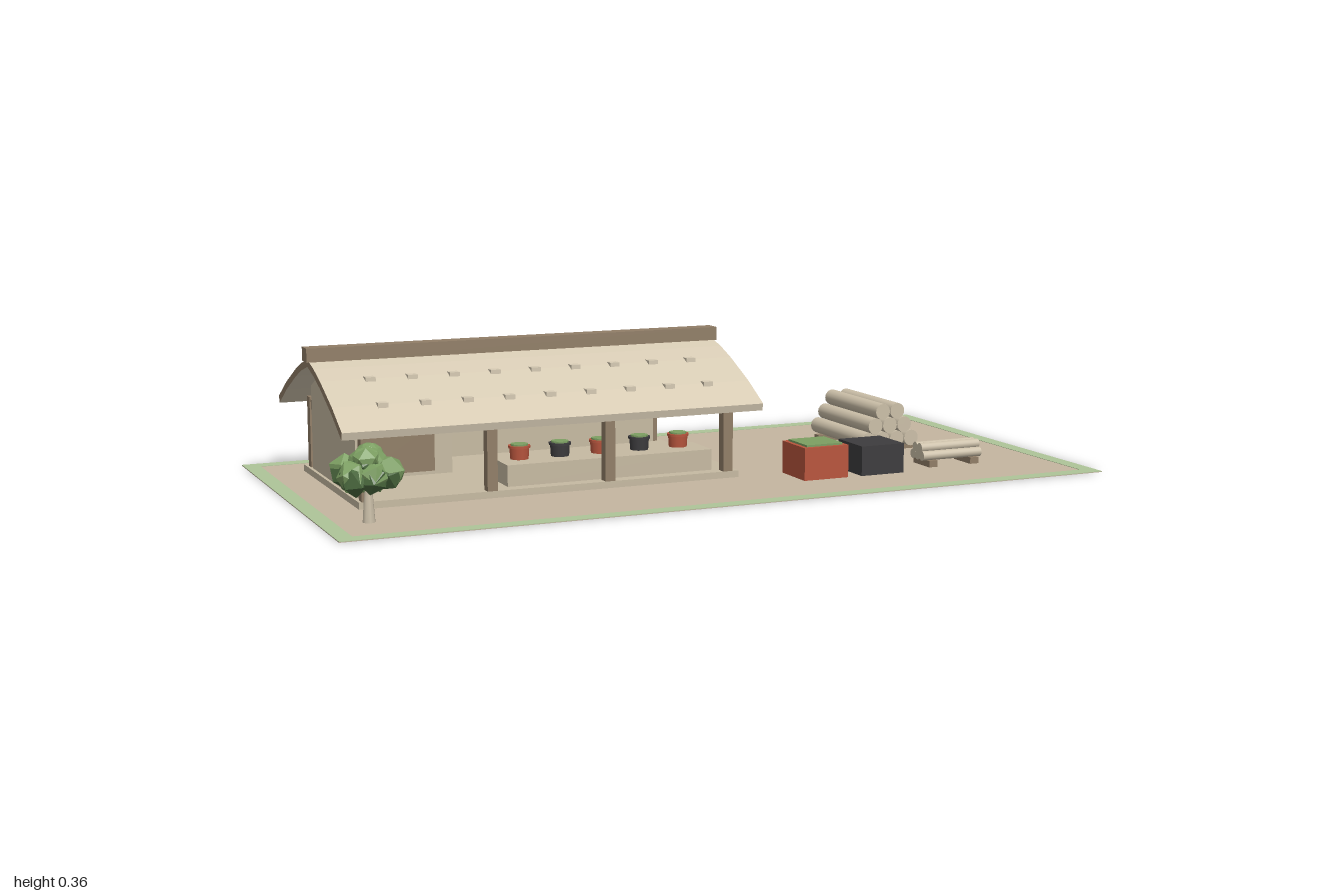
import * as THREE from 'three';

const mat = (name, color, extra = {}) => {
  const m = new THREE.MeshStandardMaterial({ color, ...extra });
  m.name = name;
  return m;
};

export function createModel() {
  const root = new THREE.Group();
  root.name = 'marketPavilion';
  const M = {
    sand: mat('sand', 0xc4b5a0),
    grass: mat('grass', 0xaec498),
    roof: mat('roofTile', 0xd6cab3),
    wall: mat('plaster', 0xc6baa2),
    timber: mat('timber', 0x917e67),
    red: mat('terracotta', 0xb8553d),
    dark: mat('charcoal', 0x3d3c3e),
    leaf: mat('leaf', 0x7c9f62, { flatShading: true }),
    leafDark: mat('darkLeaf', 0x4c6b3f, { flatShading: true }),
    log: mat('log', 0xcbbfa8),
  };

  const add = (name, geo, m, parent = root) => {
    const mesh = new THREE.Mesh(geo, m);
    mesh.name = name;
    parent.add(mesh);
    return mesh;
  };
  // Box given by its limits on each axis
  const box = (name, m, x0, x1, y0, y1, z0, z1, parent = root) => {
    const b = add(name, new THREE.BoxGeometry(x1 - x0, y1 - y0, z1 - z0), m, parent);
    b.position.set((x0 + x1) / 2, (y0 + y1) / 2, (z0 + z1) / 2);
    return b;
  };
  const group = (name) => {
    const g = new THREE.Group();
    g.name = name;
    root.add(g);
    return g;
  };

  // Ground with a grass border
  box('ground', M.sand, -1, 1, 0.0005, 0.002, -0.49, 0.49);
  for (const s of [-1, 1]) {
    const side = box('grassSide', M.grass, -0.02, 0.02, 0.002, 0.003, -0.49, 0.49);
    side.position.x = s * 0.98;
    const end = box('grassEnd', M.grass, -0.96, 0.96, 0.002, 0.003, -0.02, 0.02);
    end.position.z = s * 0.47;
  }

  // Building: floor, posts and beams
  const zc = -0.08;
  const house = group('building');
  box('floorSlab', M.wall, -0.87, 0.115, 0.002, 0.019, -0.352, 0.178, house);
  const postX = [-0.85, -0.54, -0.235, 0.085];
  for (const z of [0.165, -0.313]) {
    for (const x of postX)
      box('post', M.timber, x - 0.013, x + 0.013, 0.019, 0.2, z - 0.013, z + 0.013, house);
    box('eaveBeam', M.timber, -0.85, 0.085, 0.17, 0.194, z - 0.009, z + 0.009, house);
  }
  for (const x of postX)
    box('crossBeam', M.timber, x - 0.01, x + 0.01, 0.169, 0.194, -0.31, 0.16, house);

  // Roof cross-section, as distance from ridge and height
  const prof = [[0, 0.327], [0.06, 0.311], [0.12, 0.289], [0.225, 0.242], [0.31, 0.195]];
  const th = 0.018;
  const roofY = (d) => {
    let i = 0;
    while (i < prof.length - 2 && d > prof[i + 1][0]) i++;
    const [a, b] = [prof[i], prof[i + 1]];
    return a[1] + ((b[1] - a[1]) * (d - a[0])) / (b[0] - a[0]);
  };
  const extrudeX = (pts, x0, x1) => {
    const shape = new THREE.Shape(pts.map((p) => new THREE.Vector2(...p)));
    const g = new THREE.ExtrudeGeometry(shape, { depth: x1 - x0, bevelEnabled: false });
    return g.rotateY(Math.PI / 2).translate(x0, 0, zc);
  };
  const upper = [...prof.slice(1).reverse().map(([d, y]) => [-d, y]), ...prof];
  const lower = upper.map(([d, y]) => [d * 0.985, y - th]).reverse();
  add('roof', extrudeX([...upper, ...lower], -0.92, 0.157), [M.timber, M.roof], house);
  box('ridgeBeam', M.timber, -0.927, 0.163, 0.322, 0.356, zc - 0.022, zc + 0.022, house);

  // Roof vents, two rows on each slope
  for (const s of [-1, 1])
    for (const d of [0.12, 0.225])
      for (let i = 0; i < 9; i++) {
        const x = -0.8 + i * 0.105;
        const z = zc + s * d;
        const y = roofY(d);
        box('roofVent', M.roof, x - 0.0125, x + 0.0125, y - 0.007, y + 0.005, z - 0.012, z + 0.012, house);
      }

  // Gables, closed left end and back wall
  const gable = (y0) => {
    const top = [-0.205, -0.12, -0.06, 0, 0.06, 0.12, 0.205].map((d) => [d, roofY(Math.abs(d)) - th + 0.003]);
    return [[-0.205, y0], ...top, [0.205, y0]];
  };
  add('rightGable', extrudeX(gable(0.17), 0.083, 0.097), M.wall, house);
  add('leftEndWall', extrudeX(gable(0.019), -0.862, -0.848), M.wall, house);
  box('backWall', M.wall, -0.85, 0.085, 0.019, 0.17, -0.312, -0.298, house);
  // Inner room with a timber shutter
  box('innerRoom', M.wall, -0.848, -0.555, 0.019, 0.163, -0.298, -0.09, house);
  box('shutter', M.timber, -0.795, -0.605, 0.03, 0.15, -0.09, -0.076, house);

  // Counter with a row of pots
  box('counter', M.wall, -0.49, 0.055, 0.019, 0.072, 0.03, 0.143, house);
  for (let i = 0; i < 5; i++) {
    const pot = group('pot');
    pot.position.set(-0.433 + i * 0.107, 0.072, 0.069);
    const m = i % 2 ? M.dark : M.red;
    add('potBody', new THREE.CylinderGeometry(0.025, 0.023, 0.03, 12), m, pot).position.y = 0.015;
    add('potRim', new THREE.CylinderGeometry(0.028, 0.028, 0.006, 12), m, pot).position.y = 0.031;
    add('potPlants', new THREE.CylinderGeometry(0.022, 0.022, 0.006, 12), M.leaf, pot).position.y = 0.035;
  }

  // Planter and dark bin
  box('planterBox', M.red, 0.243, 0.367, 0, 0.085, 0.17, 0.293);
  box('planterGreens', M.leaf, 0.254, 0.356, 0.08, 0.09, 0.181, 0.282);
  box('bin', M.dark, 0.405, 0.527, 0.0005, 0.078, 0.171, 0.295);

  // Stacked logs along z, each row one log shorter, resting on two bearers
  const logStack = (name, rows, base, r, pitch, rise, y0, len, bearer) => {
    const g = group(name);
    for (let k = 0; k < rows; k++)
      for (let i = 0; i < base - k; i++) {
        const log = add('log', new THREE.CylinderGeometry(r, r, len, 16).rotateX(Math.PI / 2), M.log, g);
        log.position.set((i - (base - k - 1) / 2) * pitch, y0 + k * rise, 0);
      }
    for (const z of [-bearer.z, bearer.z])
      box('bearer', M.timber, -bearer.w, bearer.w, 0.0005, bearer.h, z - 0.0125, z + 0.0125, g);
    return g;
  };
  logStack('largeLogPile', 3, 4, 0.0215, 0.044, 0.038, 0.038, 0.287, { z: 0.096, w: 0.095, h: 0.019 })
    .position.set(0.638, 0, -0.111);
  const small = logStack('smallLogPile', 2, 3, 0.0125, 0.022, 0.02, 0.03, 0.175, { z: 0.062, w: 0.04, h: 0.019 });
  small.position.set(0.697, 0, 0.224);
  small.rotation.y = Math.PI / 2;

  // Tree: forked trunk and clustered faceted crown
  const tree = group('tree');
  tree.position.set(-0.885, 0, 0.318);
  add('trunk', new THREE.CylinderGeometry(0.009, 0.015, 0.08, 8), M.log, tree).position.y = 0.042;
  for (const s of [-1, 1]) {
    const limb = add('limb', new THREE.CylinderGeometry(0.004, 0.007, 0.06, 6), M.log, tree);
    limb.position.set(s * 0.008, 0.088, s * 0.016);
    limb.rotation.set(s * 0.55, 0, -s * 0.3);
  }
  const blobs = [
    [0, 0.135, 0, 0.048], [0.04, 0.12, 0.025, 0.042], [-0.04, 0.115, 0.03, 0.042],
    [0.035, 0.11, -0.035, 0.04], [-0.042, 0.12, -0.03, 0.042], [0.0, 0.115, 0.045, 0.038],
    [0.01, 0.15, -0.02, 0.035], [-0.01, 0.148, 0.025, 0.035],
  ];
  blobs.forEach(([x, y, z, r], i) => {
    [M.leaf, M.leafDark].forEach((m, k) => {
      const b = add('foliage', new THREE.IcosahedronGeometry(r, i % 3 === 0 ? 1 : 0), m, tree);
      b.position.set(x, y - k * 0.006, z);
      b.scale.y = 0.88;
      b.rotation.set(i * 1.3 + k, i * 0.7 + k * 2, i * 0.9);
    });
  });
  return root;
}
